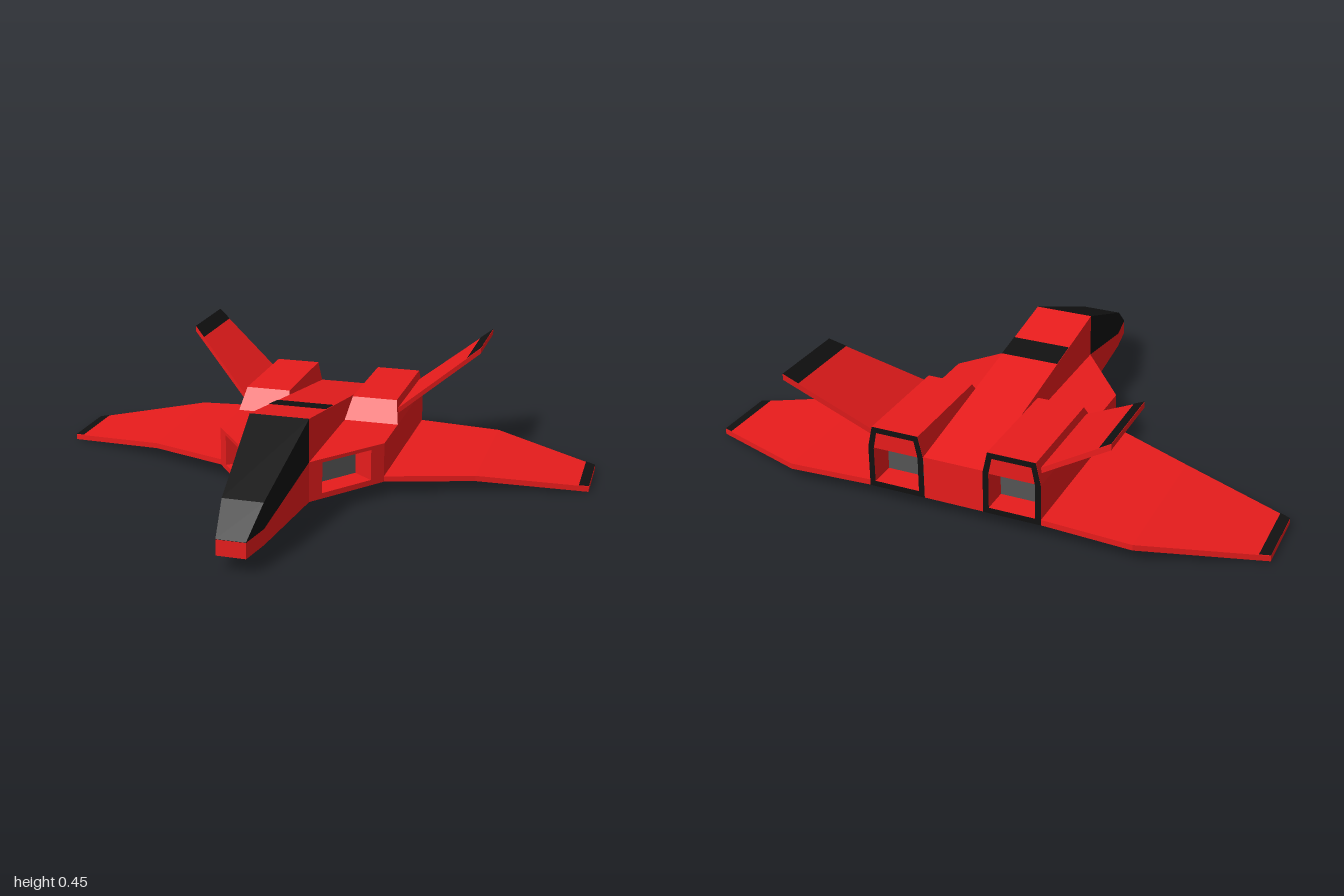
import * as THREE from 'three';

const paint = (color) => new THREE.MeshStandardMaterial({ color, flatShading: true });
const RED = paint(0xe81c1c), BLACK = paint(0x111111), GREY = paint(0x555555);

// Quads joining two loops of equal length
const bridge = (a, b) => a.map((p, j) => {
  const k = (j + 1) % a.length;
  return [p, a[k], b[k], b[j]];
});

// Closed body through a row of loops, counter-clockwise seen from the last one
function loft(rings) {
  const polys = [[...rings[0]].reverse(), rings[rings.length - 1]];
  for (let i = 0; i + 1 < rings.length; i++) polys.push(...bridge(rings[i], rings[i + 1]));
  return polys;
}

// Flat-sided mesh from convex polygons; side -1 mirrors it across x
function part(name, material, polys, side = 1) {
  const pos = [];
  for (const poly of polys) {
    const p = side < 0 ? poly.map(([x, y, z]) => [-x, y, z]).reverse() : poly;
    for (let i = 1; i + 1 < p.length; i++) pos.push(...p[0], ...p[i], ...p[i + 1]);
  }
  const geo = new THREE.BufferGeometry();
  geo.setAttribute('position', new THREE.Float32BufferAttribute(pos, 3));
  geo.computeVertexNormals();
  const mesh = new THREE.Mesh(geo, material);
  mesh.name = name;
  return mesh;
}

// Rectangular fuselage section
const section = (z, w, y0, y1) => [[w, y0, z], [w, y1, z], [-w, y1, z], [-w, y0, z]];

// Wing or fin section: leading z, trailing z, underside y, thickness 0.02
const T = 0.02;
const foil = ([x, lead, trail, y]) =>
  [[x, y, lead], [x, y, trail], [x, y + T, trail], [x, y + T, lead]];

// Lifting surface with a dark strip on its upper side, from strip x to the tip
function surface(name, stations, stripX, side) {
  const g = new THREE.Group();
  g.name = name;
  g.add(part(name + 'Panel', RED, loft(stations.map(foil)), side));
  const [a, b] = stations.slice(-2);
  const f = (stripX - a[0]) / (b[0] - a[0]);
  const inner = a.map((v, i) => v + (b[i] - v) * f);
  const [i0, i1] = [1, 2].map((k) => [inner[0], inner[3] + T + 0.002, inner[k]]);
  const [o0, o1] = [1, 2].map((k) => [b[0], b[3] + T + 0.002, b[k]]);
  g.add(part(name + 'TipStrip', BLACK, [[i0, o0, o1, i1]], side));
  return g;
}

function engine(side) {
  const g = new THREE.Group();
  g.name = side > 0 ? 'leftEngine' : 'rightEngine';
  const rear = -0.675, xi = 0.105, xo = 0.305;

  // Lower housing with a slanted front
  const front = [[xo, 0.055, -0.02], [xo, 0.2, -0.02], [xi, 0.2, 0.24], [xi, 0.055, 0.24]];
  g.add(part('engineHousing', RED, bridge(front.map(([x, y]) => [x, y, rear]), front), side));

  // Intake: frame, recess walls and back plate
  const onFace = (t, y) => [xi + t * 0.2, y, 0.24 - t * 0.26];
  const mouth = [onFace(0.82, 0.075), onFace(0.82, 0.187), onFace(0.17, 0.187), onFace(0.17, 0.075)];
  const throat = mouth.map(([x, y, z]) => [x - 0.07, y, z - 0.054]);
  g.add(part('intakeFrame', RED, [...bridge(front, mouth), ...bridge(mouth, throat)], side));
  g.add(part('intakePlate', GREY, [throat], side));

  // Raised cowl
  const cowl = (zBase, zTop) =>
    [[xo, 0.2, zBase], [0.288, 0.277, zTop], [0.122, 0.277, zTop], [xi, 0.2, zBase]];
  g.add(part('engineCowl', RED, loft([cowl(rear, rear), cowl(-0.23, -0.28)]), side));

  // Exhaust: dark rim, recess walls and back plate
  const outline = [[xi, 0.055], [xi, 0.2], [0.122, 0.277], [0.288, 0.277], [xo, 0.2], [xo, 0.055]];
  const hole = [[0.125, 0.075], [0.125, 0.198], [0.137, 0.257], [0.273, 0.257], [0.285, 0.198], [0.285, 0.075]];
  const at = (pts, z) => pts.map(([x, y]) => [x, y, z]);
  const lip = at(hole, rear - 0.001), back = at(hole, rear + 0.09);
  g.add(part('exhaustRim', BLACK, bridge(at(outline, rear - 0.001), lip), side));
  g.add(part('exhaustWalls', RED, bridge(lip, back), side));
  g.add(part('exhaustPlate', GREY, [back], side));
  return g;
}

export function createModel() {
  const model = new THREE.Group();
  model.name = 'jet';

  // Fuselage and nose
  const spineTop = (z) => 0.355 - (0.24 - z) * 0.163;
  model.add(part('spine', RED, loft([
    section(-0.675, 0.105, 0.055, spineTop(-0.675)),
    section(0.24, 0.105, 0.055, 0.355),
  ])));
  model.add(part('nose', RED, loft([
    section(0.24, 0.105, 0.055, 0.2),
    section(0.63, 0.07, 0.055, 0.11),
    section(0.75, 0.05, 0.055, 0.11),
  ])));
  model.add(part('canopy', BLACK, loft([
    section(0.24, 0.105, 0.2, 0.355),
    section(0.63, 0.07, 0.11, 0.2),
    section(0.75, 0.05, 0.11, 0.111),
  ])));

  // Dark band across the spine
  const bandY = (z) => spineTop(z) + 0.002;
  model.add(part('spineBand', BLACK, [[
    [-0.105, bandY(0.03), 0.03], [0.105, bandY(0.03), 0.03],
    [0.105, bandY(-0.075), -0.075], [-0.105, bandY(-0.075), -0.075],
  ]]));

  // Paired parts
  for (const side of [1, -1]) {
    model.add(engine(side));
    model.add(surface('wing', [
      [0.3, -0.02, -0.675, 0.055],
      [0.61, -0.15, -0.675, 0.043],
      [1, -0.27, -0.5, 0],
    ], 0.965, side));
    model.add(surface('tailFin', [
      [0.285, -0.265, -0.648, 0.222],
      [0.56, -0.465, -0.75, 0.425],
    ], 0.515, side));
  }
  return model;
}
